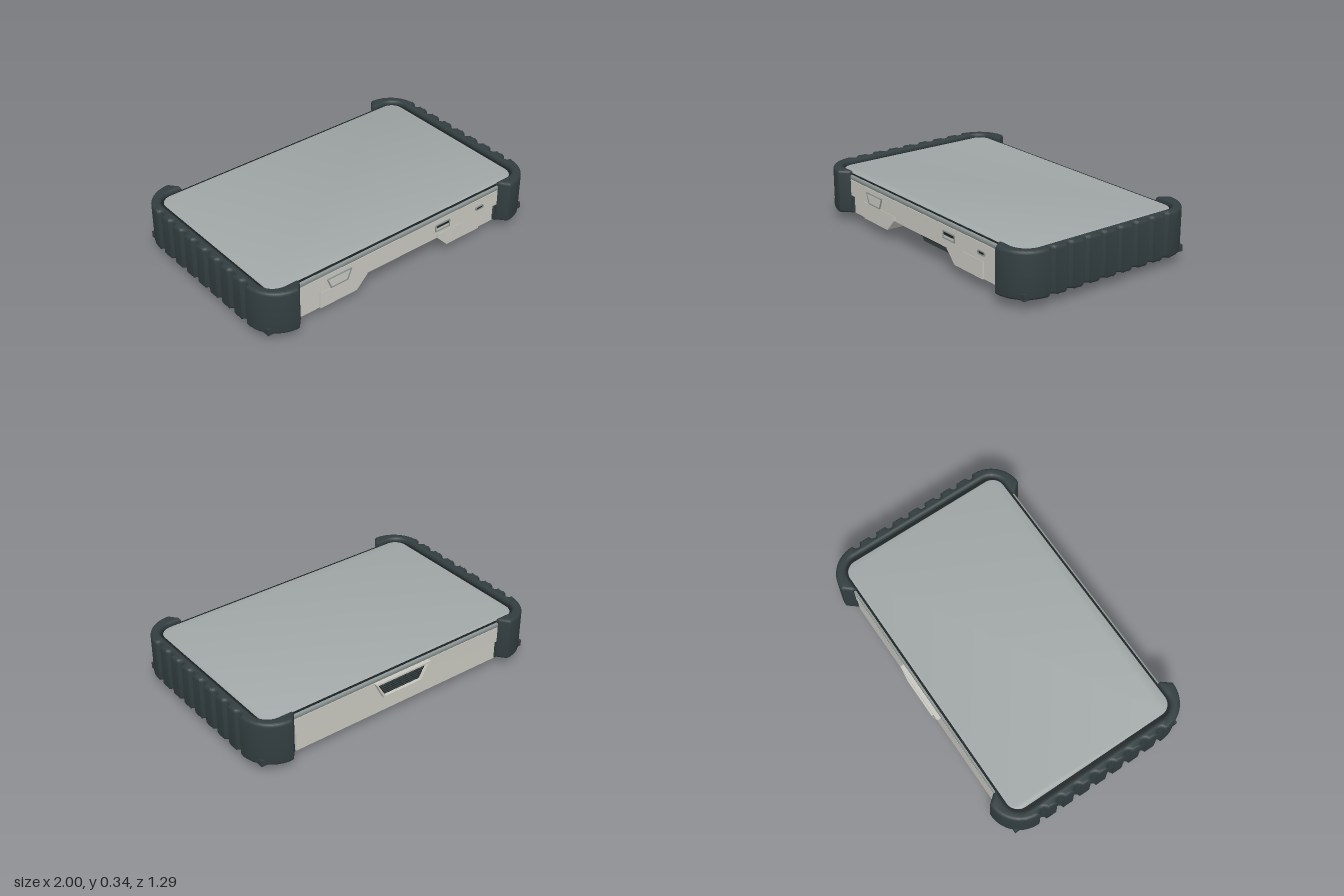
import * as THREE from 'three';
import { mergeGeometries, toCreasedNormals } from 'three/addons/utils/BufferGeometryUtils.js';
import { RoundedBoxGeometry } from 'three/addons/geometries/RoundedBoxGeometry.js';

const mat = (color) => new THREE.MeshStandardMaterial({ color });
const shell = mat(0xc8c7bf), rubber = mat(0x323d3f), black = mat(0x1c2122);
const glass = mat(0xa0a7a6), trim = mat(0x8b9494);

function add(parent, name, geometry, material, x = 0, y = 0, z = 0) {
  const mesh = new THREE.Mesh(geometry, material);
  mesh.name = name;
  mesh.position.set(x, y, z);
  parent.add(mesh);
  return mesh;
}

const box = (w, h, d) => new THREE.BoxGeometry(w, h, d);

function polygon(points) {
  return new THREE.Shape(points.map(([x, y]) => new THREE.Vector2(x, y)));
}

function roundedRect(hw, hh, r) {
  const s = new THREE.Shape();
  s.absarc(hw - r, hh - r, r, 0, Math.PI / 2);
  s.absarc(r - hw, hh - r, r, Math.PI / 2, Math.PI);
  s.absarc(r - hw, r - hh, r, Math.PI, Math.PI * 1.5);
  s.absarc(hw - r, r - hh, r, Math.PI * 1.5, Math.PI * 2);
  s.closePath();
  return s;
}

// Extrusion from a to b along z, with the bevel kept inside the outline
function extrude(shape, a, b, bevel = 0) {
  const g = new THREE.ExtrudeGeometry(shape, {
    depth: b - a - 2 * bevel, curveSegments: 10, bevelEnabled: bevel > 0,
    bevelThickness: bevel, bevelSize: bevel, bevelOffset: -bevel, bevelSegments: 4,
  });
  g.translate(0, 0, a + bevel);
  return toCreasedNormals(g, 0.6);
}

// Horizontal slab between two heights; the shape is drawn in (x, z)
const slab = (shape, y0, y1, bevel) => extrude(shape, -y1, -y0, bevel).rotateX(Math.PI / 2);

function trapezoid(top, bottom, y0, y1) {
  return polygon([[-bottom, y0], [bottom, y0], [top, y1], [-top, y1]]);
}

function trapezoidFrame(top, bottom, y0, y1, t) {
  const s = trapezoid(top, bottom, y0, y1);
  s.holes.push(trapezoid(top - t * 1.4, bottom - t * 0.9, y0 + t, y1 - t));
  return s;
}

// C-shaped end bumper with vertical flutes, floor, inset strip and feet
function makeBumper() {
  const g = new THREE.Group();
  const s = new THREE.Shape();
  s.moveTo(0.75, -0.59);
  s.lineTo(0.795, -0.645);
  s.absarc(0.8, -0.445, 0.2, -Math.PI / 2, 0);
  for (let i = 0; i < 8; i++) {
    s.absarc(1, (i - 3.5) * 0.118, 0.025, -Math.PI / 2, Math.PI / 2, true);
  }
  s.absarc(0.8, 0.445, 0.2, 0, Math.PI / 2);
  s.lineTo(0.795, 0.645);
  s.lineTo(0.75, 0.59);
  s.lineTo(0.75, 0.568);
  s.absarc(0.835, 0.468, 0.1, Math.PI / 2, 0, true);
  s.absarc(0.835, -0.468, 0.1, 0, -Math.PI / 2, true);
  s.lineTo(0.75, -0.568);
  s.closePath();
  add(g, 'bumperWall', slab(s, 0.06, 0.34, 0.02), rubber);
  add(g, 'bumperFloor', box(0.22, 0.04, 1.17), rubber, 0.855, 0.082, 0);

  // Raised rim around the dark strip underneath
  const rim = roundedRect(0.065, 0.4, 0.02);
  rim.holes.push(roundedRect(0.045, 0.38, 0.012));
  add(g, 'stripRim', slab(rim, 0.052, 0.07), rubber, 0.83);
  add(g, 'strip', box(0.09, 0.008, 0.76), black, 0.83, 0.061, 0);

  for (const z of [-0.49, 0.49]) {
    const foot = add(g, 'foot', new THREE.SphereGeometry(1, 24, 12), rubber, 0.84, 0.066, z);
    foot.scale.set(0.06, 0.028, 0.07);
  }
  return g;
}

// Field of diagonal grip dashes on one half of the underside
function gripDashes(side) {
  const parts = [];
  for (let i = 0; i < 7; i++) {
    for (let j = 0; j < 17; j++) {
      const d = new RoundedBoxGeometry(0.058, 0.012, 0.012, 1, 0.004);
      d.rotateY(side * (j % 2 ? 0.7 : 0.85));
      d.translate(side * (0.38 + i * 0.042), 0.064, -0.3 + j * 0.048);
      parts.push(d);
    }
  }
  return mergeGeometries(parts);
}

function makePorts() {
  const g = new THREE.Group();
  const z = 0.585;
  // Trapezoid video port
  add(g, 'videoPortFrame', extrude(trapezoidFrame(0.088, 0.06, 0.182, 0.252, 0.006), 0, 0.007), trim, -0.475, 0, z);
  add(g, 'videoPortCover', extrude(trapezoid(0.08, 0.054, 0.188, 0.246), 0, 0.003), shell, -0.475, 0, z);
  // Rectangular port
  const rect = roundedRect(0.057, 0.024, 0.003);
  rect.holes.push(roundedRect(0.05, 0.017, 0.002));
  add(g, 'wideSocketFrame', extrude(rect, 0, 0.006), trim, 0.3, 0.225, z);
  add(g, 'wideSocketHole', box(0.1, 0.018, 0.004), black, 0.3, 0.232, z);
  add(g, 'wideSocketTongue', box(0.1, 0.016, 0.004), shell, 0.3, 0.216, z);
  // Small rounded port
  const pill = roundedRect(0.033, 0.013, 0.012);
  pill.holes.push(roundedRect(0.026, 0.007, 0.006));
  add(g, 'smallSocketFrame', extrude(pill, 0, 0.006), trim, 0.6, 0.223, z);
  add(g, 'smallSocketHole', extrude(roundedRect(0.026, 0.007, 0.006), 0, 0.002), black, 0.6, 0.223, z);
  // Rear connector with protruding surround and slatted dark inside
  add(g, 'rearPortFrame', extrude(trapezoidFrame(0.2, 0.14, 0.168, 0.282, 0.012), -0.61, -0.58), shell);
  add(g, 'rearPortRecess', extrude(trapezoid(0.186, 0.13, 0.178, 0.272), -0.59, -0.58), black);
  for (let i = 0; i < 6; i++) {
    add(g, 'rearPortSlat', box(0.25 + i * 0.018, 0.004, 0.008), rubber, 0, 0.19 + i * 0.014, -0.592);
  }
  return g;
}

function makeClip() {
  const g = new THREE.Group();
  // Main block: rear lower edge is sloped
  const profile = (y0, w, c) => polygon([
    [-w + c, y0], [w - c, y0], [w, y0 + c], [w, 0.14], [-w, 0.14], [-w, y0 + c]]);
  const body = extrude(profile(0, 0.195, 0.025), -0.27, 0.222);
  const p = body.attributes.position;
  for (let i = 0; i < p.count; i++) {
    if (p.getZ(i) < -0.2 && p.getY(i) < 0.01) p.setZ(i, -0.245);
  }
  add(g, 'clipBlock', toCreasedNormals(body, 0.3), rubber);
  add(g, 'clipTongue', extrude(profile(0.027, 0.165, 0.015), 0.2, 0.45), rubber);
  // U-shaped rails and slot on the front of the tongue
  for (const s of [-1, 1]) {
    add(g, 'tongueRail', box(0.014, 0.09, 0.25), rubber, s * 0.178, 0.092, 0.325);
    add(g, 'tongueGroove', box(0.006, 0.07, 0.004), black, s * 0.14, 0.09, 0.45);
  }
  add(g, 'tongueGroove', box(0.286, 0.006, 0.004), black, 0, 0.055, 0.45);
  add(g, 'tongueSlot', box(0.17, 0.024, 0.006), black, 0, 0.1, 0.45);
  for (let i = 0; i < 9; i++) {
    add(g, 'clipSlat', box(0.29, 0.006, 0.018), black, 0, 0.002, -0.18 + i * 0.042);
  }
  return g;
}

export function createModel() {
  const model = new THREE.Group();
  model.name = 'ruggedTablet';

  // Upper shell, bezel, gasket and screen
  add(model, 'upperShell', slab(roundedRect(0.95, 0.585, 0.12), 0.178, 0.28), shell);
  add(model, 'bezel', slab(roundedRect(0.95, 0.585, 0.12), 0.28, 0.309, 0.006), trim);
  add(model, 'gasket', slab(roundedRect(0.935, 0.572, 0.1), 0.3, 0.313), black);
  add(model, 'screen', slab(roundedRect(0.915, 0.56, 0.08), 0.295, 0.318, 0.008), glass);

  // Lower shell: solid at the rear, with a sloped channel open to the front
  add(model, 'lowerShellRear', box(1.47, 0.118, 0.3), shell, 0, 0.123, -0.435);
  add(model, 'lowerShellFront', extrude(polygon([
    [-0.73, 0.066], [-0.35, 0.066], [-0.28, 0.14], [0.28, 0.14], [0.35, 0.066],
    [0.73, 0.066], [0.73, 0.18], [-0.73, 0.18]]), -0.29, 0.572), shell);
  for (const s of [-1, 1]) {
    const panel = extrude(polygon([
      [0.345, 0.068], [0.605, 0.068], [0.605, 0.176], [0.27, 0.176], [0.27, 0.145]]), 0.56, 0.584);
    const m = add(model, 'frontPanel', s > 0 ? panel : panel.rotateY(Math.PI).translate(0, 0, 1.144), shell);
    m.updateMatrix();
    add(model, 'gripDashes', gripDashes(s), trim);
    add(model, 'undersideTrim', box(0.014, 0.01, 0.9), shell, s * 0.7, 0.063, 0);
    add(model, 'undersideTrim', box(0.3, 0.01, 0.014), shell, s * 0.55, 0.063, -0.45);
  }

  model.add(makePorts());
  model.children.at(-1).name = 'ports';
  const clip = makeClip();
  clip.name = 'mountClip';
  model.add(clip);

  for (const left of [true, false]) {
    const bumper = makeBumper();
    bumper.name = left ? 'leftBumper' : 'rightBumper';
    if (!left) bumper.rotation.y = Math.PI;
    model.add(bumper);
  }
  return model;
}
